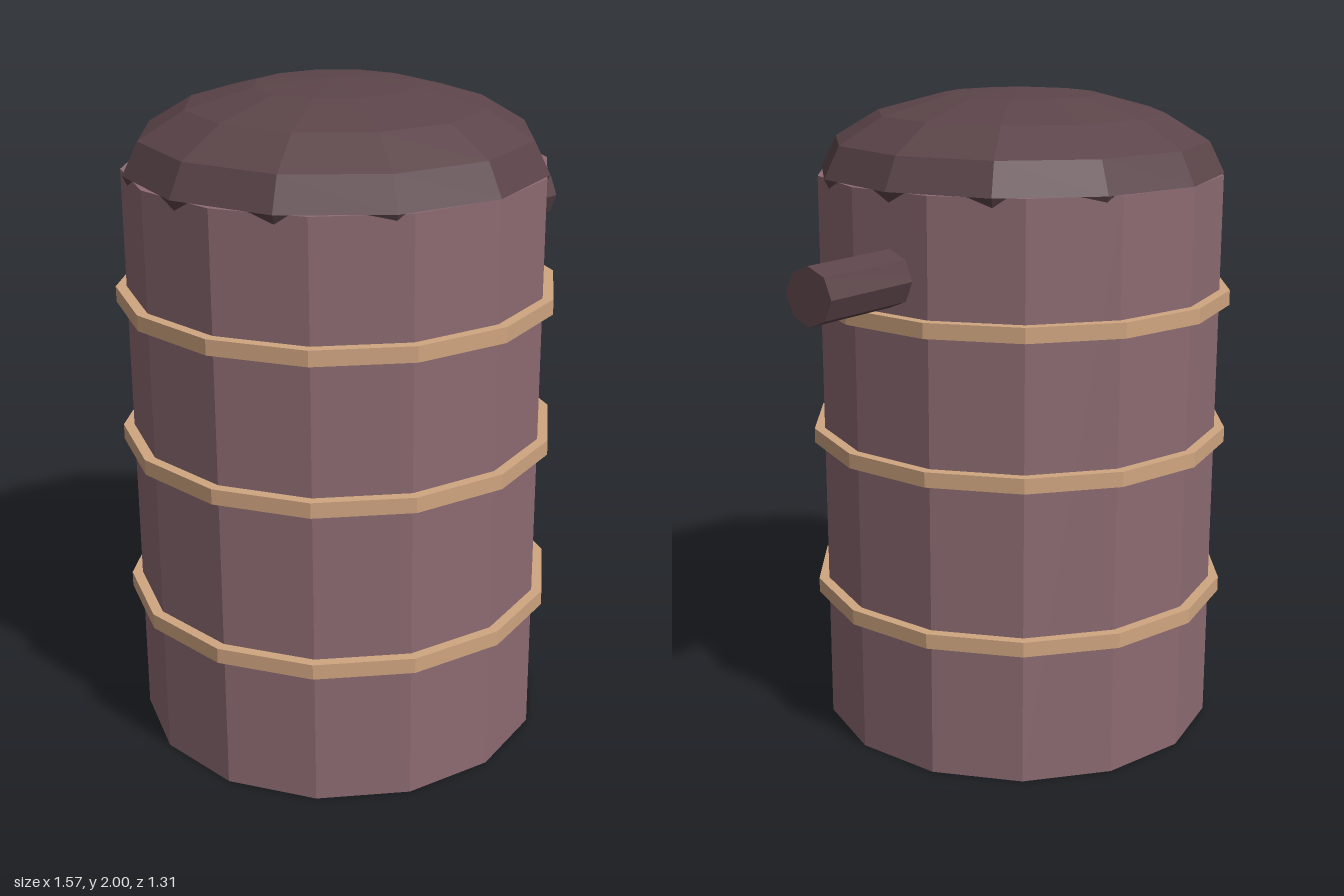
import * as THREE from 'three';

const CENTER_X = -0.15; // barrel axis, shifted so barrel plus spout is centred

export function createModel() {
  const model = new THREE.Group();
  model.name = 'barrelTank';

  const material = (name, color) => {
    const m = new THREE.MeshStandardMaterial({ color, flatShading: true });
    m.name = name;
    return m;
  };
  const mauve = material('mauve body', 0x8c6b72);
  const darkMauve = material('dark mauve', 0x5c454a);
  const tan = material('tan band', 0xd0a580);

  const add = (name, geometry, mat, x, y) => {
    const mesh = new THREE.Mesh(geometry, mat);
    mesh.name = name;
    mesh.position.set(x, y, 0);
    model.add(mesh);
    return mesh;
  };

  // Fourteen-sided barrel
  add('body', new THREE.CylinderGeometry(0.623, 0.623, 1.75, 14), mauve, CENTER_X, 0.875);

  // Three hoops around the barrel
  [0.442, 0.942, 1.378].forEach((y, i) => {
    add('band' + (i + 1), new THREE.CylinderGeometry(0.655, 0.655, 0.046, 14), tan, CENTER_X, y);
  });

  // Flattened twelve-sided dome, its lower half sunk in the barrel
  const dome = new THREE.SphereGeometry(0.623, 12, 8);
  dome.scale(1, 0.25 / 0.623, 1);
  add('domeLid', dome, darkMauve, CENTER_X, 1.75);

  // Octagonal spout reaching out to the left
  const spout = new THREE.CylinderGeometry(0.084, 0.084, 0.4, 8);
  spout.rotateZ(-Math.PI / 2);
  add('spout', spout, darkMauve, 0.585, 1.504);

  return model;
}
